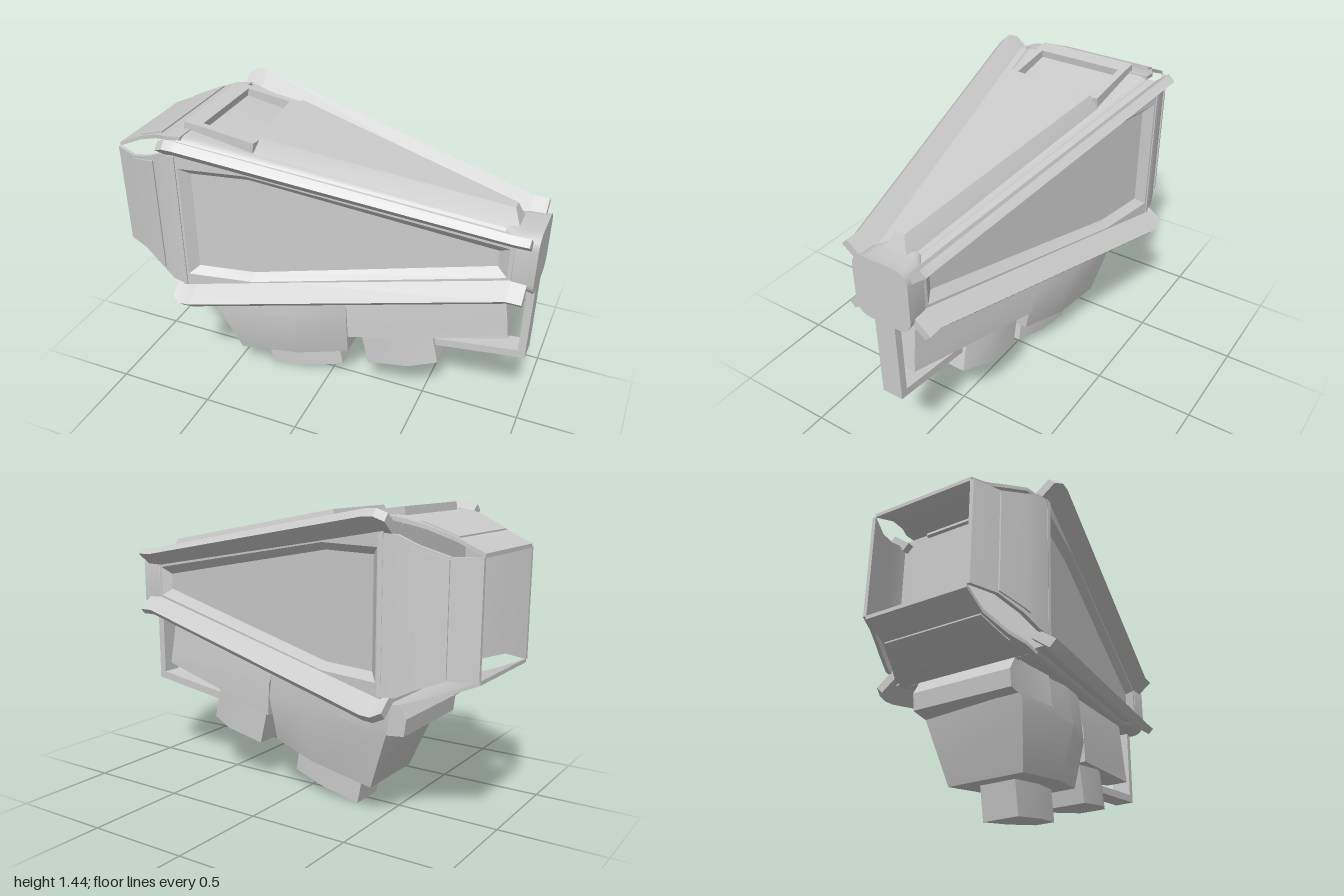
import * as THREE from 'three';
import { toCreasedNormals } from 'three/addons/utils/BufferGeometryUtils.js';

const CY = 0.995; // height of the hull axis
const grey = new THREE.MeshStandardMaterial({ color: 0xcccccc, side: THREE.DoubleSide });

// Skin a list of equal-length rings of [x,y,z]; orientation is fixed by the signed volume.
function loft(name, rings, capStart = true, capEnd = true) {
  const n = rings[0].length, pts = rings.flat(), idx = [];
  for (let r = 0; r < rings.length - 1; r++)
    for (let i = 0; i < n; i++) {
      const a = r * n + i, b = r * n + (i + 1) % n;
      idx.push(a, b, b + n, a, b + n, a + n);
    }
  const last = (rings.length - 1) * n;
  for (let i = 1; i < n - 1; i++) {
    if (capStart) idx.push(0, i + 1, i);
    if (capEnd) idx.push(last, last + i, last + i + 1);
  }
  const v = pts.map(p => new THREE.Vector3(p[0], p[1] - CY, p[2]));
  let vol = 0;
  for (let i = 0; i < idx.length; i += 3)
    vol += v[idx[i]].dot(new THREE.Vector3().crossVectors(v[idx[i + 1]], v[idx[i + 2]]));
  if (vol < 0) idx.reverse();
  const geo = new THREE.BufferGeometry();
  geo.setAttribute('position', new THREE.Float32BufferAttribute(pts.flat(), 3));
  geo.setIndex(idx);
  const mesh = new THREE.Mesh(toCreasedNormals(geo, 0.5), grey);
  mesh.name = name;
  return mesh;
}

// Plan outline given for the +z half and mirrored to -z.
const plan = pts => [...pts, ...pts.map(([x, y, z]) => [x, y, -z]).reverse()];
// Rectangular section across z at one x.
const rect = (x, y0, y1, z) => [[x, y0, z], [x, y1, z], [x, y1, -z], [x, y0, -z]];
// Rounded rectangular section.
function rounded(x, hy, hz, r) {
  const ring = [];
  for (let c = 0; c < 4; c++)
    for (let i = 0; i <= 5; i++) {
      const a = (c + i / 5) * Math.PI / 2;
      const sz = c === 0 || c === 3 ? 1 : -1, sy = c < 2 ? 1 : -1;
      ring.push([x, CY + sy * (hy - r) + r * Math.sin(a), sz * (hz - r) + r * Math.cos(a)]);
    }
  return ring;
}
const half = x => 0.41 - 0.181 * (x + 0.62); // hull half width

// Recessed side panel
function sidePanel(s) {
  const ring = (pts, depth) => [...pts, ...pts.map(([x, y]) => [x, -y]).reverse()]
    .map(([x, y]) => [x, CY + y, s * (half(x) - depth)]);
  const edge = [-0.62, -0.28, 0.9].map(x => [x, half(x) - 0.02]);
  const rim = [[-0.59, 0.285], [-0.28, 0.285], [0.88, 0.075]];
  const floor = [[-0.55, 0.25], [-0.28, 0.25], [0.83, 0.04]];
  return loft('sidePanel', [ring(edge, 0.08), ring(edge, 0), ring(rim, 0), ring(floor, 0.035)], false, true);
}

// Diagonal rail on one hull corner
function cornerFin(sy, sz) {
  const section = (x, tz, ty, rz, ry, t) => [
    [tz + t, ty - t], [tz - t, ty + t], [rz - t, ry + t], [rz + t, ry - t],
  ].map(([z, y]) => [x, CY + sy * y, sz * z]);
  return loft('cornerFin', [
    section(-0.655, 0.45, 0.41, 0.36, 0.34, 0.016),
    section(-0.61, 0.468, 0.43, 0.36, 0.34, 0.016),
    section(-0.56, 0.465, 0.428, 0.35, 0.33, 0.016),
    section(0.9, 0.2, 0.162, 0.11, 0.09, 0.014),
    section(0.97, 0.2, 0.162, 0.11, 0.09, 0.014),
  ]);
}

// Bent plate of the open tail box, made for the top side
function tailPlate() {
  const g = new THREE.Group();
  g.name = 'tailPlate';
  const plate = [[-1, 0.26, 0.255], [-0.88, 0.315, 0.255], [-0.76, 0.365, 0.3],
    [-0.68, 0.39, 0.34], [-0.6, 0.402, 0.345]];
  g.add(loft('tailShell', plate.map(([x, y, w]) => rect(x, CY + y - 0.008, CY + y + 0.01, w))));
  const inset = [[-0.88, 0.32, 0.245], [-0.76, 0.37, 0.28], [-0.73, 0.38, 0.29]];
  g.add(loft('tailInset', inset.map(([x, y, w]) => rect(x, CY + y - 0.005, CY + y + 0.012, w))));
  g.children.forEach(m => m.geometry.translate(0, -CY, 0));
  g.position.y = CY;
  return g;
}

export function createModel() {
  const model = new THREE.Group();

  // Tapered hull with rounded nose
  model.add(loft('hull', [
    rounded(-0.62, 0.41, 0.36, 0.05),
    rounded(0.84, 0.146, 0.096, 0.05),
    rounded(0.9, 0.145, 0.138, 0.06),
    rounded(0.96, 0.148, 0.14, 0.065),
    rounded(1, 0.155, 0.142, 0.065),
  ]));
  for (const s of [1, -1]) {
    model.add(sidePanel(s));
    for (const sy of [1, -1]) model.add(cornerFin(sy, s));
  }

  // Raised wedge along the top
  model.add(loft('topWedge', [
    [[-0.29, 1.33, 0.26], [-0.26, 1.415, 0.225]],
    [[0.9, 1.12, 0.06], [0.86, 1.212, 0.025]],
  ].map(([b, t]) => plan([b, t]))));

  // Top hatch: sloping frame around a sunken window
  const frame = new THREE.Shape([[-0.63, -0.25], [-0.28, -0.25], [-0.245, 0], [-0.28, 0.25], [-0.63, 0.25]]
    .map(p => new THREE.Vector2(...p)));
  frame.holes.push(new THREE.Path([[-0.55, -0.215], [-0.55, 0.215], [-0.325, 0.215], [-0.305, 0], [-0.325, -0.215]]
    .map(p => new THREE.Vector2(...p))));
  const hatchGeo = new THREE.ExtrudeGeometry(frame, { depth: 0.07, bevelEnabled: false });
  hatchGeo.translate(0.62, 0, -0.07);
  hatchGeo.rotateX(-Math.PI / 2);
  const hatch = new THREE.Mesh(hatchGeo, grey);
  hatch.name = 'topHatch';
  hatch.position.set(-0.62, 1.438, 0);
  hatch.rotation.z = -0.13;
  model.add(hatch);

  // Open tail box of four bent plates
  for (let i = 0; i < 4; i++) {
    const p = tailPlate();
    p.rotation.x = i * Math.PI / 2;
    model.add(p);
  }

  // Rear keel and its mount
  model.add(loft('rearKeel', [
    plan([[-0.45, 0.14, 0.19], [-0.12, 0.203, 0.19], [0.13, 0.25, 0.13]]),
    plan([[-0.56, 0.43, 0.25], [-0.1, 0.47, 0.25], [0.14, 0.48, 0.18]]),
    plan([[-0.6, 0.62, 0.25], [-0.1, 0.74, 0.2], [0.12, 0.76, 0.16]]),
  ]));
  model.add(loft('keelMount', [
    plan([[-0.65, 0.44, 0.25], [-0.56, 0.43, 0.25], [-0.3, 0.48, 0.25]]),
    plan([[-0.66, 0.52, 0.25], [-0.56, 0.58, 0.25], [-0.3, 0.66, 0.23]]),
    plan([[-0.61, 0.61, 0.25], [-0.56, 0.64, 0.25], [-0.3, 0.68, 0.22]]),
  ]));

  // Front keel
  model.add(loft('frontKeel', [
    plan([[0.15, 0.385, 0.18], [0.91, 0.53, 0.06]]),
    plan([[0.14, 0.55, 0.18], [0.9, 0.6, 0.055]]),
    plan([[0.08, 0.76, 0.15], [0.855, 0.87, 0.05]]),
  ]));

  // Blocks hanging under the keels
  model.add(loft('rearBlock', [
    plan([[-0.32, 0, 0.09], [-0.12, 0.041, 0.09], [0.07, 0.08, 0.05]]),
    plan([[-0.355, 0.18, 0.09], [-0.15, 0.22, 0.09], [0.04, 0.25, 0.05]]),
  ]));
  model.add(loft('frontBlock', [
    plan([[0.24, 0.21, 0.125], [0.45, 0.253, 0.125], [0.585, 0.28, 0.07]]),
    plan([[0.19, 0.42, 0.125], [0.4, 0.46, 0.125], [0.54, 0.48, 0.07]]),
  ]));

  // Guard rail from nose to keel
  model.add(loft('railBar', [rect(0.1, 0.305, 0.345, 0.052), rect(0.999, 0.435, 0.475, 0.052)]));
  const post = new THREE.Mesh(new THREE.BoxGeometry(0.036, 0.42, 0.104), grey);
  post.name = 'railPost';
  post.position.set(0.981, 0.65, 0);
  model.add(post);

  return model;
}
